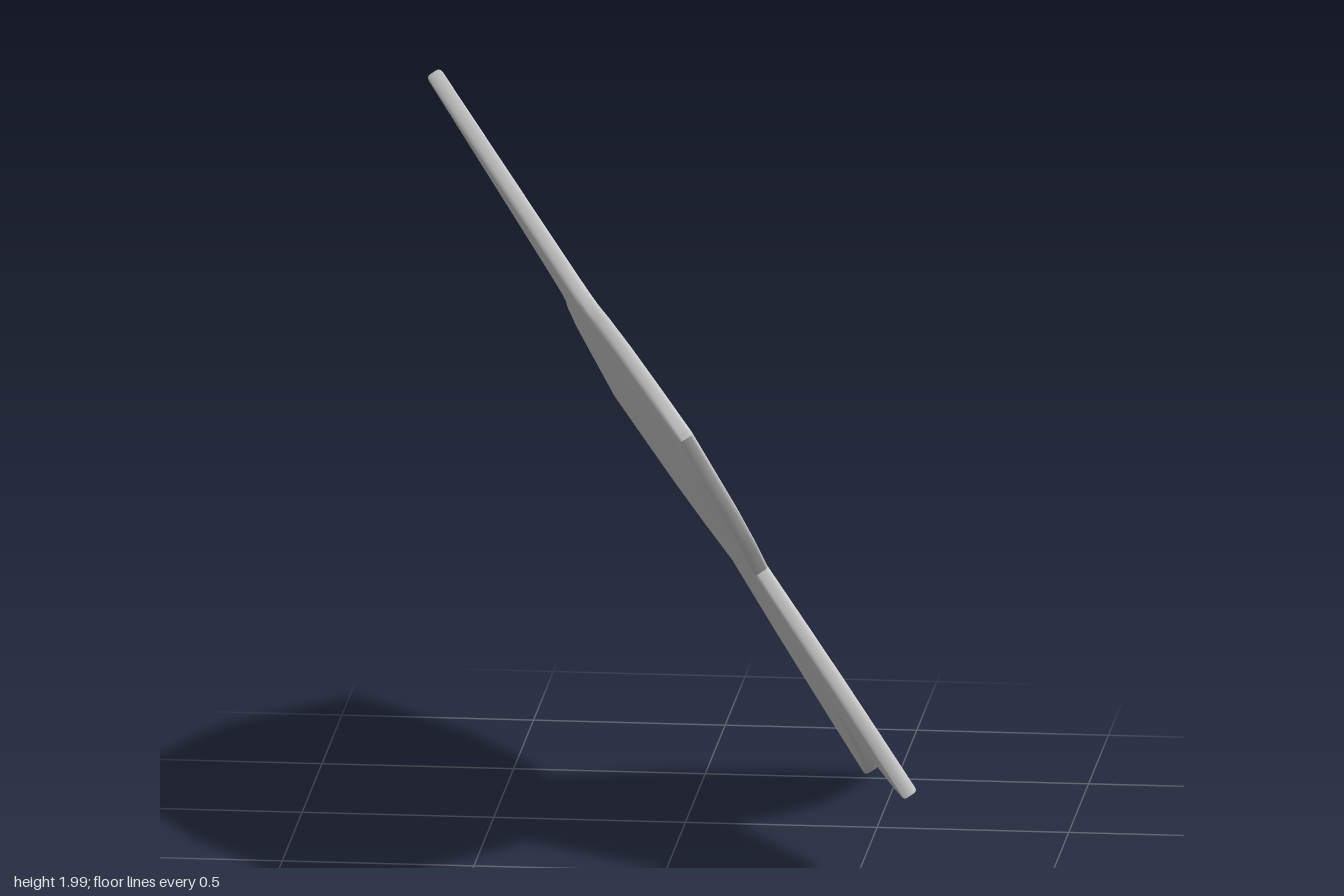
import * as THREE from 'three';
import { toCreasedNormals } from 'three/addons/utils/BufferGeometryUtils.js';

// The plate lies in the tilted plane x = 0.613 - 0.635 y + 0.3185 z
const onPlane = (z, y) => new THREE.Vector3(0.613 - 0.635 * y + 0.3185 * z, y, z);
const origin = onPlane(0, 1);
const N = new THREE.Vector3(1, 0.635, -0.3185).normalize();
const U = onPlane(-1, 1).sub(origin).normalize();
const V = new THREE.Vector3().crossVectors(N, U);

// In-plane coordinates of a point given by its side-on position (z, y)
function local([z, y]) {
  const p = onPlane(z, y).sub(origin);
  return new THREE.Vector2(p.dot(U), p.dot(V));
}

// Star outline as (z, y), clockwise arm by arm, starting at the top tip
const outline = [
  [-0.035, 1.99], [-0.14, 1.615], [-0.2, 1.425], [-0.235, 1.37], [-0.285, 1.34],
  [-0.41, 1.29], [-0.6, 1.19], [-0.805, 1.035],
  [-0.98, 0.9], [-0.84, 0.815], [-0.685, 0.735], [-0.49, 0.682],
  [-0.275, 0.65], [-0.41, 0.435], [-0.46, 0.315], [-0.515, 0.155],
  [-0.548, 0.012], [-0.375, 0.078], [-0.2, 0.152], [-0.05, 0.25],
  [0.095, 0.362], [0.255, 0.318], [0.41, 0.281], [0.535, 0.271],
  [0.7, 0.277], [0.665, 0.42], [0.615, 0.54], [0.535, 0.655],
  [0.41, 0.79], [0.6, 0.905], [0.77, 1.035], [0.88, 1.17],
  [0.978, 1.292], [0.972, 1.307], [0.8, 1.378], [0.625, 1.436], [0.435, 1.462],
  [0.31, 1.463], [0.255, 1.485], [0.21, 1.543], [0.095, 1.748],
];

export function createModel() {
  const model = new THREE.Group();
  model.name = 'starModel';

  const tilted = new THREE.Group();
  tilted.name = 'tiltedStar';
  tilted.quaternion.setFromRotationMatrix(new THREE.Matrix4().makeBasis(U, V, N));
  tilted.position.copy(origin);
  model.add(tilted);

  // Flat five-armed plate with softened edges
  const thickness = 0.043, bevel = 0.01;
  const depth = thickness - 2 * bevel;
  const plate = new THREE.ExtrudeGeometry(new THREE.Shape(outline.map(local)), {
    depth, steps: 1, bevelEnabled: true, bevelThickness: bevel,
    bevelSize: bevel, bevelOffset: -bevel, bevelSegments: 3,
  });
  plate.translate(0, 0, -depth / 2);
  const star = new THREE.Mesh(
    toCreasedNormals(plate, 0.7),
    new THREE.MeshStandardMaterial({ color: 0xcccccc }),
  );
  star.name = 'starPlate';
  tilted.add(star);

  // Two shallow buttons on one face
  const buttonMaterial = new THREE.MeshStandardMaterial({ color: 0x6a5622 });
  const buttonGeometry = new THREE.SphereGeometry(0.048, 24, 12).scale(1, 1, 0.16);
  [['upperButton', [0.025, 1.408]], ['lowerButton', [0.083, 0.704]]].forEach(([name, at]) => {
    const button = new THREE.Mesh(buttonGeometry, buttonMaterial);
    const p = local(at);
    button.name = name;
    button.position.set(p.x, p.y, thickness / 2);
    tilted.add(button);
  });

  return model;
}
